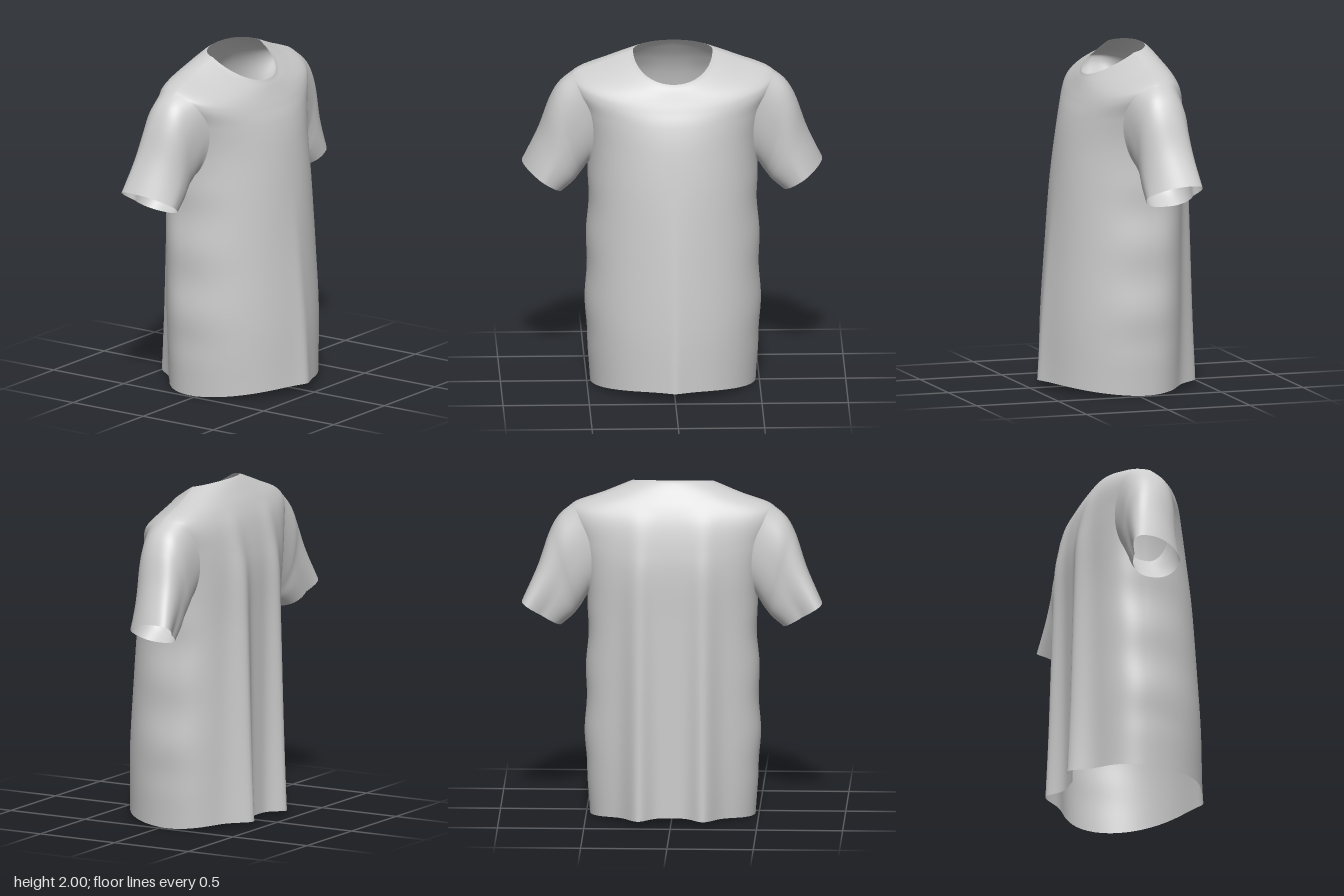
import * as THREE from 'three';

const material = new THREE.MeshStandardMaterial({ color: 0xcccccc, side: THREE.DoubleSide });
const spow = (v, p) => Math.sign(v) * Math.abs(v) ** p;
const { lerp, smoothstep } = THREE.MathUtils;

// Smooth interpolation through rows of section parameters
function rowCurve(rows) {
  const times = rows.map((_, i) => i);
  const interpolant = new THREE.CubicInterpolant(times, rows.flat(), rows[0].length);
  return (t) => Array.from(interpolant.evaluate(t));
}

// Open tube skinned over closed rings; point(angle, v) returns [x, y, z]
function loft(name, point, v0, v1, rings, sides) {
  const positions = [], index = [];
  for (let j = 0; j <= rings; j++) {
    for (let i = 0; i < sides; i++) {
      positions.push(...point((i / sides) * Math.PI * 2, lerp(v0, v1, j / rings)));
      if (j === rings) continue;
      const a = j * sides + i, b = j * sides + ((i + 1) % sides);
      index.push(a, b, b + sides, a, b + sides, a + sides);
    }
  }
  const geometry = new THREE.BufferGeometry();
  geometry.setAttribute('position', new THREE.Float32BufferAttribute(positions, 3));
  geometry.setIndex(index);
  geometry.computeVertexNormals();
  const mesh = new THREE.Mesh(geometry, material);
  mesh.name = name;
  return mesh;
}

// Body sections from hem to neckline: half width, y at front / side / back,
// z at front / side / back, front ridge, back folds, back squareness
const bodyRow = rowCurve([
  [0.48, 0.045, 0.00, 0.035, 0.405, -0.04, -0.37, 0.062, 0.10, 0.85],
  [0.505, 0.40, 0.40, 0.40, 0.40, -0.05, -0.37, 0.037, 0.08, 0.85],
  [0.50, 0.80, 0.80, 0.80, 0.375, -0.06, -0.37, 0.02, 0.065, 0.8],
  [0.49, 1.18, 1.18, 1.18, 0.347, -0.07, -0.37, 0, 0.05, 0.7],
  [0.50, 1.44, 1.45, 1.46, 0.31, -0.08, -0.37, 0, 0.035, 0.6],
  [0.54, 1.59, 1.66, 1.62, 0.275, -0.08, -0.355, 0, 0.02, 0.6],
  [0.59, 1.68, 1.80, 1.76, 0.24, -0.08, -0.325, 0, 0.01, 0.65],
  [0.56, 1.74, 1.852, 1.86, 0.213, -0.08, -0.285, 0, 0, 0.75],
  [0.40, 1.79, 1.91, 1.94, 0.19, -0.08, -0.235, 0, 0, 0.9],
  [0.27, 1.815, 1.962, 1.985, 0.177, -0.07, -0.20, 0, 0, 1],
  [0.23, 1.83, 1.975, 2.0, 0.17, -0.06, -0.18, 0, 0, 1],
]);

function bodyPoint(angle, v) {
  const [hw, yF, yS, yB, zF, zS, zB, ridge, fold, square] = bodyRow(v);
  const s = Math.sin(angle), c = Math.cos(angle), front = c > 0, depth = Math.abs(c);
  const y = lerp(yS, front ? yF : yB, depth ** (v < 2 ? 1.6 : 1));
  // Soft crumples down the side seams, fading at hem and armpit
  const fade = smoothstep(y, 0.1, 0.4) * (1 - smoothstep(y, 1.1, 1.4));
  const x = hw * spow(s, 0.97) + 0.005 * Math.sin(y * 16) * fade * spow(s, 7);
  const z = front
    ? lerp(zS, zF, depth) + ridge * Math.exp(-Math.hypot(x, 0.02) / 0.08)
    : lerp(zS, zB, depth ** square) - fold * Math.exp(-(((Math.abs(x) - 0.19) / 0.075) ** 2));
  return [x, y, z];
}

// Loop on the body's side around the armhole
const armhole = (angle, size) => new THREE.Vector3(
  ...bodyPoint(Math.PI / 2 - 0.5 * size * Math.sin(angle), 5.15 + 1.75 * size * Math.cos(angle)));

// Sleeve sections to the cuff:
// top x, y; underarm x, y; centre z, half depth, backward lean of the top
const sleeveRows = [
  [0.655, 1.775, 0.525, 1.25, -0.10, 0.155, 0],
  [0.715, 1.67, 0.55, 1.215, -0.10, 0.148, 0.01],
  [0.78, 1.48, 0.58, 1.18, -0.10, 0.145, 0.045],
  [0.87, 1.28, 0.64, 1.13, -0.10, 0.14, 0.09],
];

function sleeveRing(angle, [tx, ty, ux, uy, cz, depth, lean]) {
  const s = Math.sin(angle), c = Math.cos(angle), k = (1 + spow(c, 0.85)) / 2;
  return new THREE.Vector3(lerp(ux, tx, k), lerp(uy, ty, k), cz + depth * spow(s, 0.85) - lean * Math.max(c, 0));
}

// Strand along the sleeve, leaving the body's surface tangentially
function sleevePoint(side) {
  return (angle, v) => {
    const a = angle * side;
    const strand = new THREE.CatmullRomCurve3(
      [armhole(a, 1.15), armhole(a, 1), ...sleeveRows.map((row) => sleeveRing(a, row))], false, 'catmullrom');
    const p = strand.getPoint(v);
    return [side * p.x, p.y, p.z];
  };
}

export function createModel() {
  const shirt = new THREE.Group();
  shirt.name = 'tShirt';
  shirt.add(
    loft('body', bodyPoint, 0, 9, 90, 160),
    loft('neckband', bodyPoint, 9, 10, 6, 160),
    loft('leftSleeve', sleevePoint(1), 0.2, 1, 32, 64),
    loft('rightSleeve', sleevePoint(-1), 0.2, 1, 32, 64),
  );
  return shirt;
}
